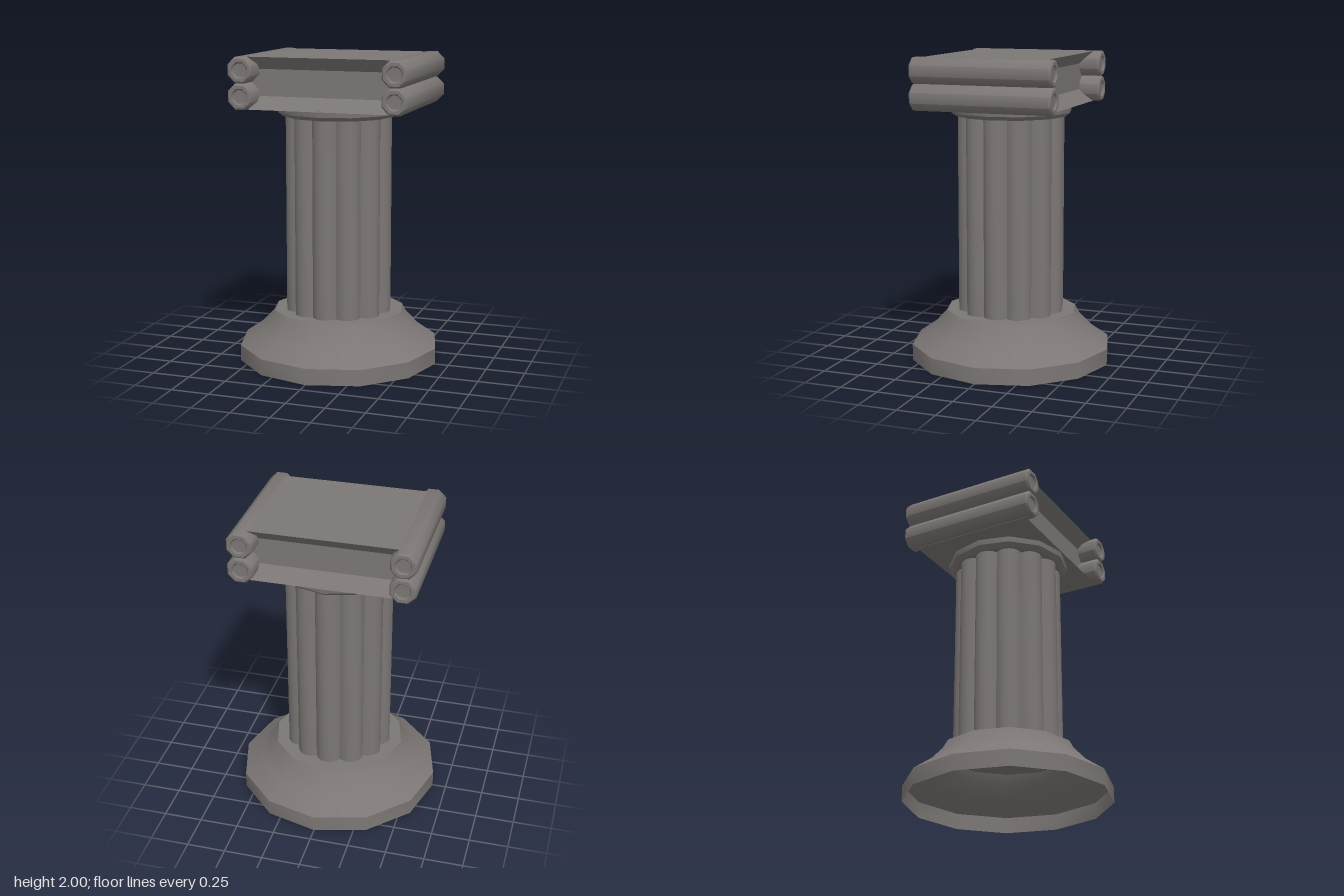
import * as THREE from 'three';
import { toCreasedNormals } from 'three/addons/utils/BufferGeometryUtils.js';

const stone = new THREE.MeshStandardMaterial({ color: 0x7c7775, side: THREE.DoubleSide });
stone.name = 'grey stone';

function addPart(parent, name, geometry, crease = 0.6) {
  const mesh = new THREE.Mesh(toCreasedNormals(geometry, crease), stone);
  mesh.name = name;
  parent.add(mesh);
  return mesh;
}

function lathe(points, sides, start = 0) {
  return new THREE.LatheGeometry(points.map(([r, y]) => new THREE.Vector2(r, y)), sides, start);
}

// Ring of overlapping round ribs, drawn as one scalloped outline
function shaftGeometry(bottom, top) {
  const ribs = 12, steps = 6, ring = 0.265, radius = 0.084;
  const side = ring * Math.sin(Math.PI / ribs);
  const half = Math.PI / ribs + Math.asin(side / radius);
  const outline = [];
  for (let i = 0; i < ribs; i++) {
    const a = (i / ribs) * Math.PI * 2;
    for (let j = 0; j < steps; j++) {
      // The last point of a rib is the first point of the next one
      const b = a - half + (2 * half * j) / steps;
      outline.push(new THREE.Vector2(
        ring * Math.cos(a) + radius * Math.cos(b),
        ring * Math.sin(a) + radius * Math.sin(b)));
    }
  }
  const geometry = new THREE.ExtrudeGeometry(new THREE.Shape(outline), { depth: top - bottom, bevelEnabled: false });
  return geometry.rotateX(-Math.PI / 2).translate(0, bottom, 0);
}

export function createModel() {
  const model = new THREE.Group();
  model.name = 'column';

  // Flared base, open underneath
  addPart(model, 'base', lathe([
    [0.66, 0], [0.66, 0.105], [0.54, 0.19], [0.46, 0.275], [0.43, 0.33], [0, 0.33],
  ], 12));

  addPart(model, 'flutedShaft', shaftGeometry(0.33, 1.62));

  addPart(model, 'neckRing', lathe([
    [0, 1.61], [0.365, 1.61], [0.395, 1.635], [0.4, 1.68],
  ], 12));

  // Capital block with a recessed band along the front and back
  const capital = new THREE.Group();
  capital.name = 'capital';
  model.add(capital);
  const section = new THREE.Shape([
    [0.405, 1.67], [0.325, 1.75], [0.325, 1.92], [0.405, 2],
    [-0.405, 2], [-0.325, 1.92], [-0.325, 1.75], [-0.405, 1.67],
  ].map(([z, y]) => new THREE.Vector2(z, y)));
  const block = new THREE.ExtrudeGeometry(section, { depth: 1, bevelEnabled: false });
  block.translate(0, 0, -0.5).rotateY(Math.PI / 2);
  addPart(capital, 'capitalBlock', block);

  // Four eight-sided scrolls with bevelled rims and dished ends
  const end = [[0, 0.445], [0.045, 0.447], [0.055, 0.46], [0.076, 0.46], [0.088, 0.447]];
  const profile = [...end.map(([r, y]) => [r, -y]), ...end.slice().reverse()];
  for (const x of [-0.5, 0.5]) {
    for (const y of [1.753, 1.919]) {
      const scroll = addPart(capital, 'scroll', lathe(profile, 8, Math.PI / 8).rotateX(Math.PI / 2), 0.8);
      scroll.position.set(x, y, 0);
    }
  }
  return model;
}
